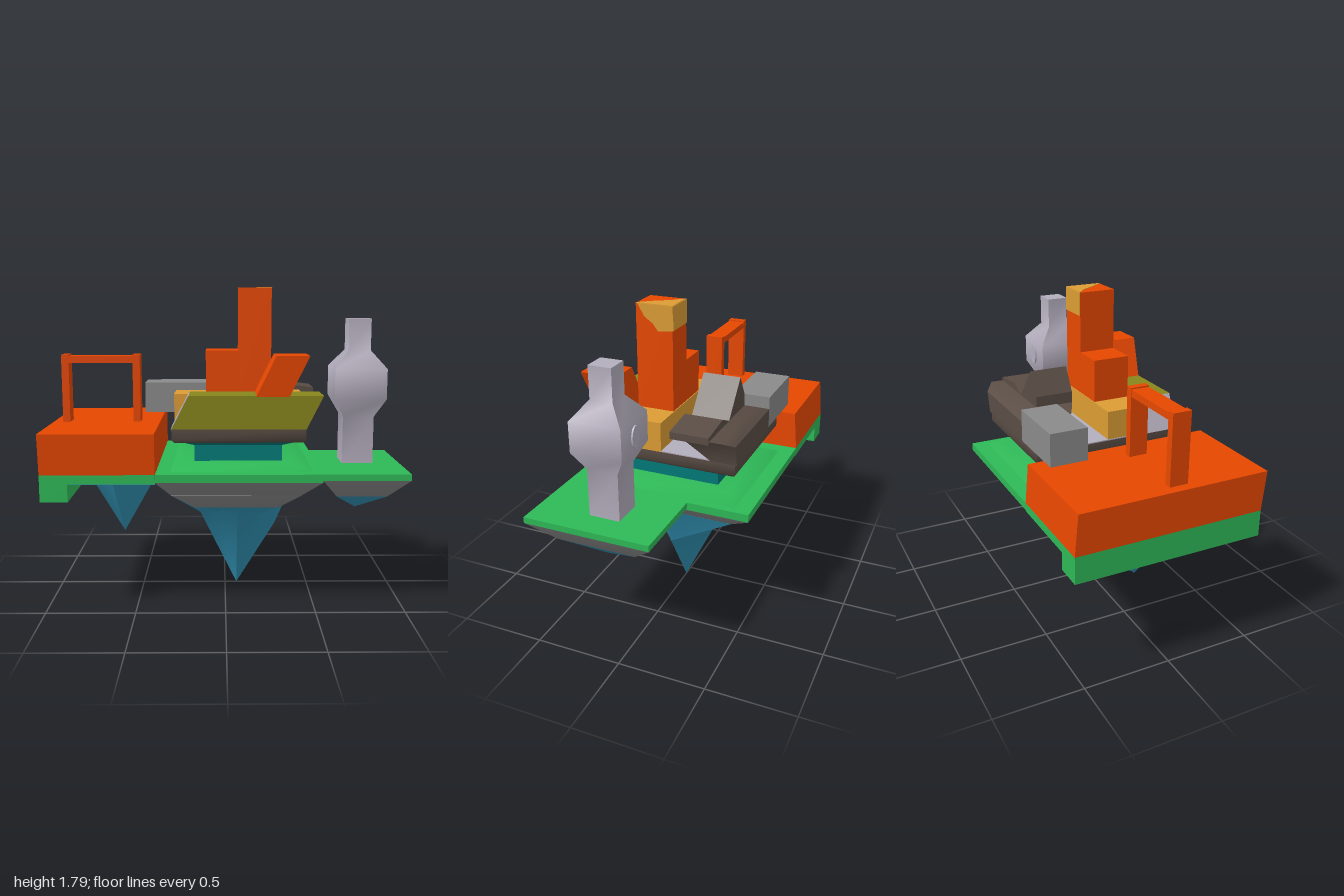
import * as THREE from 'three';
import { toCreasedNormals } from 'three/addons/utils/BufferGeometryUtils.js';

const mat = (name, color) => Object.assign(new THREE.MeshStandardMaterial({ color }), { name });

// Ring of four corners, counterclockwise from above: front left, front right, back right, back left
const rect = (x0, x1, z0, z1, y) => [[x0, y, z1], [x1, y, z1], [x1, y, z0], [x0, y, z0]];

// Closed solid through rings listed from bottom to top, gentle bends shaded smooth
function loft(rings) {
  const pos = [];
  const tri = (a, b, c) => pos.push(...a, ...b, ...c);
  const n = rings[0].length;
  for (let r = 0; r < rings.length - 1; r++) {
    const lo = rings[r], hi = rings[r + 1];
    for (let i = 0; i < n; i++) {
      const j = (i + 1) % n;
      tri(lo[i], lo[j], hi[j]);
      tri(lo[i], hi[j], hi[i]);
    }
  }
  const bottom = rings[0], top = rings[rings.length - 1];
  for (let i = 1; i < n - 1; i++) {
    tri(top[0], top[i], top[i + 1]);
    tri(bottom[0], bottom[i + 1], bottom[i]);
  }
  const g = new THREE.BufferGeometry();
  g.setAttribute('position', new THREE.Float32BufferAttribute(pos, 3));
  g.computeVertexNormals();
  return toCreasedNormals(g, 0.9);
}

// Outline in x and y, extruded from z0 to z1
function slab(points, z0, z1) {
  const shape = new THREE.Shape(points.map(([x, y]) => new THREE.Vector2(x, y)));
  return new THREE.ExtrudeGeometry(shape, { depth: z1 - z0, bevelEnabled: false }).translate(0, 0, z0);
}

export function createModel() {
  const group = new THREE.Group();
  const orange = mat('orange', 0xec4900), green = mat('green', 0x2eb957);
  const rockBlue = mat('rock blue', 0x3192b4), teal = mat('deep teal', 0x007a78);
  const olive = mat('olive', 0x88861c), tan = mat('tan', 0xdc9c34);
  const gray = mat('gray', 0x8a8a8a), brown = mat('dark brown', 0x5a4d45);
  const lilac = mat('pale lilac', 0xb4aebd);

  const add = (name, geo, material) => {
    const m = new THREE.Mesh(geo, material);
    m.name = name;
    group.add(m);
    return m;
  };
  const box = (name, material, x0, x1, y0, y1, z0, z1) =>
    add(name, loft([rect(x0, x1, z0, z1, y0), rect(x0, x1, z0, z1, y1)]), material);

  // Main island: turf, stone collar and hanging rock
  box('mainTurf', green, -0.38, 0.525, 0.745, 0.79, -0.55, 0.525);
  add('turfMound', loft([rect(-0.3, 0.48, -0.46, 0.45, 0.79), rect(-0.23, 0.38, -0.39, 0.38, 0.82)]), green);
  add('mainCollar', loft([rect(-0.3, 0.42, -0.42, 0.42, 0.65), rect(-0.38, 0.525, -0.55, 0.525, 0.745)]), gray);
  add('frontCollar', loft([rect(-0.17, 0.3, 0.2, 0.3, 0.55), rect(-0.3, 0.42, 0.2, 0.425, 0.65)]), gray);
  const mid = (a, b) => a.map((v, i) => (v + b[i]) / 2);
  const F = [0.07, 0.52, 0.25], R = [0.3, 0.375, 0], B = [0.07, 0.52, -0.25], L = [-0.15, 0.445, 0];
  const waist = [mid(L, F), F, mid(F, R), R, mid(R, B), B, mid(B, L), L];
  const rim = [[-0.3, 0.65, 0.42], [0.06, 0.649, 0.42], [0.42, 0.65, 0.42], [0.42, 0.649, 0],
    [0.42, 0.65, -0.42], [0.06, 0.649, -0.42], [-0.3, 0.65, -0.42], [-0.295, 0.545, 0]];
  add('mainRock', loft([waist.map(() => [0.07, 0, 0]), waist, rim]), rockBlue);

  // Right island
  box('rightTurf', green, 0.525, 1, 0.755, 0.79, -0.2, 0.525);
  add('rightCollar', loft([rect(0.62, 0.9, -0.07, 0.39, 0.635), rect(0.525, 1, -0.2, 0.525, 0.755)]), gray);
  add('rightRock', loft([rect(0.76, 0.76, 0.165, 0.165, 0.52), rect(0.62, 0.9, -0.07, 0.39, 0.635)]), rockBlue);

  // Left block on its green base, with a diamond rock below
  add('leftBlock', loft([rect(-1, -0.38, -0.55, 0.53, 0.79), rect(-1, -0.38, -0.53, 0.55, 1.015)]), orange);
  box('leftBase', green, -1, -0.38, 0.74, 0.79, -0.55, 0.53);
  box('leftLip', green, -1, -0.85, 0.64, 0.74, -0.55, 0.53);
  box('leftUnderside', rockBlue, -0.85, -0.381, 0.735, 0.74, -0.53, 0.52);
  const diamond = [[-0.61, 0.735, 0.5], [-0.38, 0.735, 0], [-0.61, 0.735, -0.5], [-0.85, 0.735, 0]];
  add('leftRock', loft([diamond.map(() => [-0.61, 0.33, 0]), diamond]), rockBlue);

  // Arch on the left block
  for (const x of [-0.945, -0.535]) box('archPost', orange, x, x + 0.042, 1.01, 1.405, -0.005, 0.1);
  box('archBeam', orange, -0.905, -0.53, 1.358, 1.397, -0.004, 0.099);

  // Drum and deck
  add('drum', loft([rect(-0.175, 0.32, -0.3, 0.29, 0.81), rect(-0.175, 0.32, -0.3, 0.29, 0.91),
    rect(-0.27, 0.41, -0.41, 0.39, 0.95)]), teal);
  add('deck', loft([rect(-0.28, 0.425, -0.425, 0.415, 0.945), rect(-0.295, 0.44, -0.44, 0.43, 0.96),
    rect(-0.295, 0.44, -0.44, 0.43, 1.02)]), brown);
  box('deckTop', lilac, -0.293, 0.438, 1.02, 1.026, -0.438, 0.2);

  // Blocks on the deck
  box('tanBlock', tan, -0.29, 0.44, 1.02, 1.19, -0.01, 0.21);
  box('grayBlock', gray, -0.495, -0.1, 1.026, 1.212, -0.45, -0.235);
  add('oliveBlock', loft([rect(-0.295, 0.44, 0.21, 0.43, 1.02), rect(-0.2, 0.53, 0.22, 0.44, 1.205)]), olive);
  add('oliveBlockEnd', loft([rect(-0.299, -0.295, 0.212, 0.428, 1.021), rect(-0.204, -0.2, 0.222, 0.438, 1.204)]), lilac);
  add('slantedBlock', loft([rect(0.165, 0.345, 0.22, 0.44, 1.2), rect(0.27, 0.45, 0.24, 0.46, 1.42)]), orange);

  // Leaning dark block with a notched top
  add('leaningBlock', loft([rect(-0.1, 0.44, -0.45, -0.3, 1.02), rect(-0.1, 0.47, -0.45, -0.145, 1.14),
    rect(-0.02, 0.535, -0.4, -0.105, 1.175)]), brown);
  add('notchedTop', slab([[-0.02, 1.165], [0.535, 1.155], [0.535, 1.195], [0.33, 1.22], [0.23, 1.175],
    [0.06, 1.37], [-0.02, 1.24]], -0.325, -0.105), brown);

  // Stepped tower with painted tan cap
  box('towerStep', orange, -0.11, 0.075, 1.19, 1.435, -0.005, 0.21);
  box('tower', orange, 0.075, 0.258, 1.19, 1.783, -0.005, 0.21);
  box('towerBackBand', tan, 0.075, 0.258, 1.65, 1.783, -0.009, -0.005);
  const side = slab([[0.005, 1.65], [-0.08, 1.64], [-0.11, 1.68], [-0.16, 1.715], [-0.2, 1.783], [0.005, 1.783]], 0, 0.003);
  add('towerSideBand', side.rotateY(Math.PI / 2).translate(0.258, 0, 0), tan);
  const cap = slab([[0.075, 0.005], [0.258, 0.005], [0.258, -0.21], [0.19, -0.13], [0.14, -0.05]], 0, 0.003);
  add('towerTopPatch', cap.rotateX(-Math.PI / 2).translate(0, 1.783, 0), tan);

  // Pale pillar with a swollen middle and a small oval disc at the back
  const sq = (h, y) => rect(0.758 - h, 0.758 + h, 0.128 - h, 0.128 + h, y);
  add('pillar', loft([sq(0.088, 0.79), sq(0.088, 1.06), sq(0.146, 1.165), sq(0.146, 1.335),
    sq(0.064, 1.435), sq(0.064, 1.613)]), lilac);
  add('pillarDisc', new THREE.CylinderGeometry(0.062, 0.062, 0.012, 20).rotateX(Math.PI / 2)
    .scale(0.65, 1, 1).translate(0.758, 1.245, -0.021), lilac);
  return group;
}
